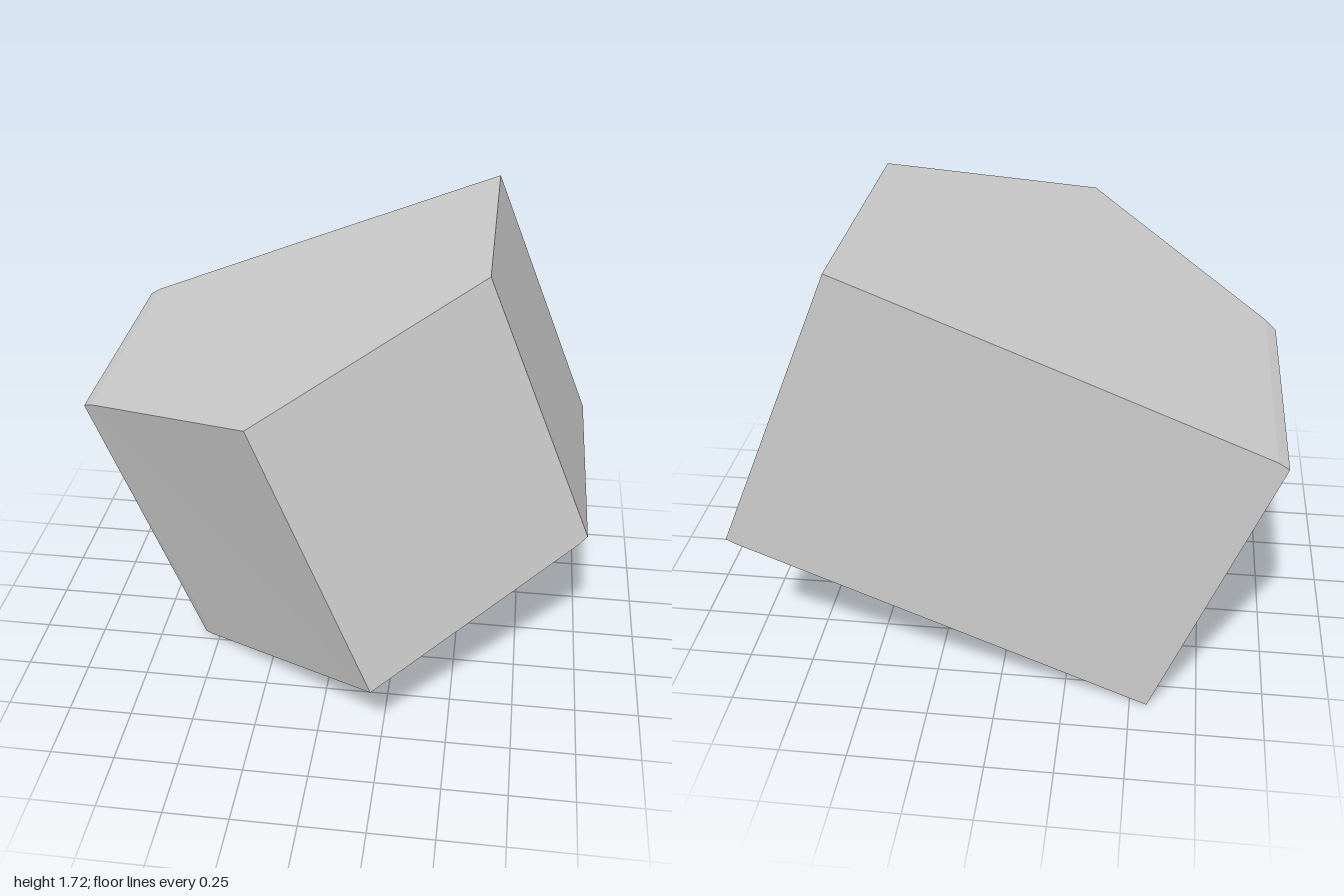
import * as THREE from 'three';

// Stations across the tilted block: top edge (x, y), bottom edge (x, y), front depth.
const BACK = -0.86;
const STATIONS = [
  { top: [-1, 1.08], bottom: [-0.565, 0], front: 0.2 },
  { top: [-0.96, 1.105], bottom: [-0.53, 0.014], front: 0.234 },
  { top: [-0.22, 1.406], bottom: [0.217, 0.315], front: 0.86 }, // front ridge
  { top: [0.52, 1.704], bottom: [0.965, 0.616], front: 0.234 },
  { top: [0.56, 1.72], bottom: [1, 0.635], front: 0.2 },
];

// Rectangular cross-section: top back, top front, bottom front, bottom back
function section({ top, bottom, front }) {
  return [[...top, BACK], [...top, front], [...bottom, front], [...bottom, BACK]];
}

function loft(rings) {
  const positions = [];
  const quad = (a, b, c, d) => positions.push(...a, ...b, ...c, ...a, ...c, ...d);

  // Top, front, underside and back
  for (let i = 0; i < rings.length - 1; i++) {
    const a = rings[i];
    const b = rings[i + 1];
    for (let j = 0; j < 4; j++) {
      const k = (j + 1) % 4;
      quad(a[j], a[k], b[k], b[j]);
    }
  }

  // Side faces
  quad(...[...rings[0]].reverse());
  quad(...rings[rings.length - 1]);

  const geometry = new THREE.BufferGeometry();
  geometry.setAttribute('position', new THREE.Float32BufferAttribute(positions, 3));
  geometry.computeVertexNormals();
  return geometry;
}

export function createModel() {
  const group = new THREE.Group();
  group.name = 'tiltedPentagonalBlock';

  const material = new THREE.MeshStandardMaterial({ color: 0xcccccc, flatShading: true });
  const block = new THREE.Mesh(loft(STATIONS.map(section)), material);
  block.name = 'pentagonalPrism';
  group.add(block);

  return group;
}
